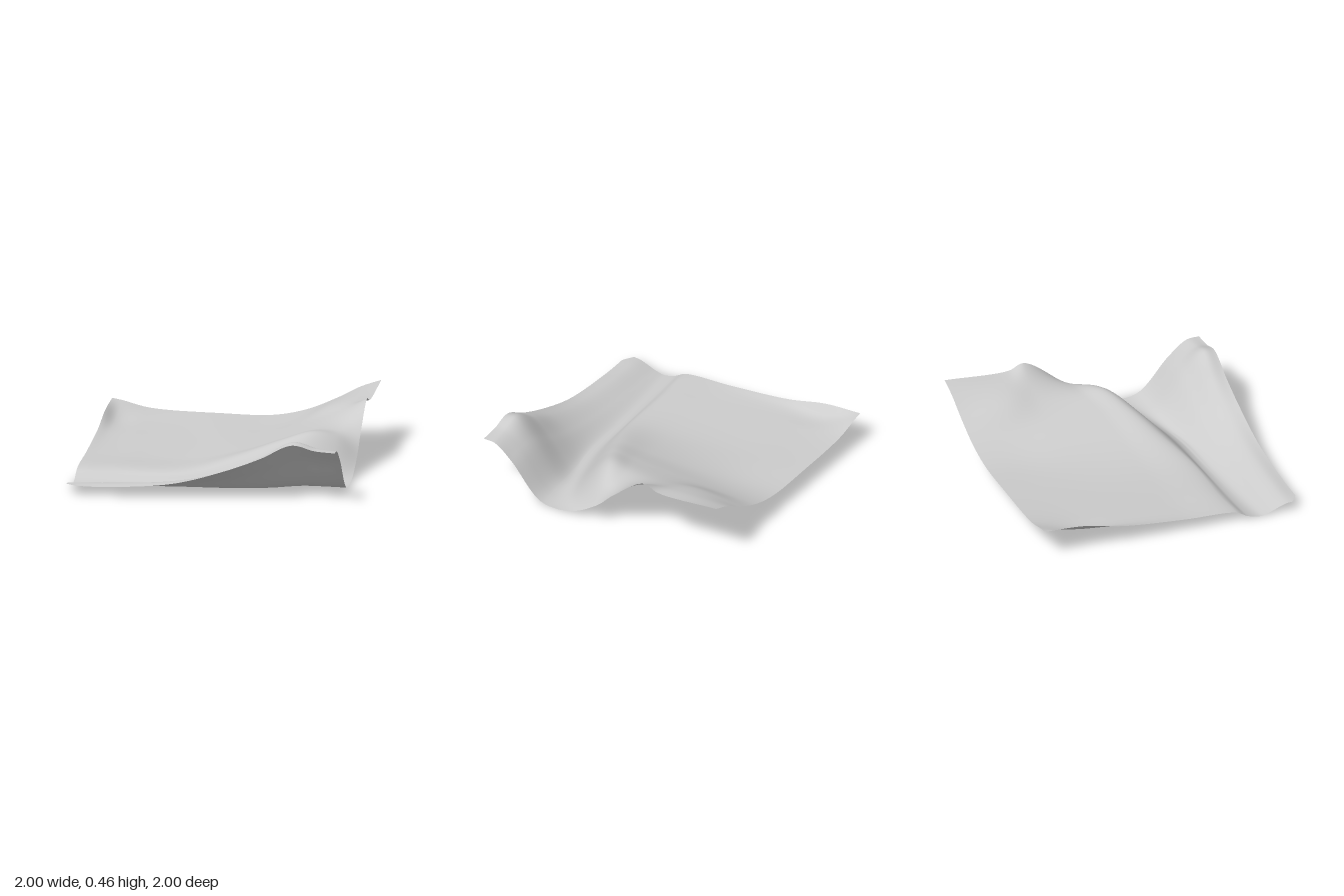
import * as THREE from 'three';

// Columns of the control net, from right (-x) to left (+x)
const XS = [-1, -0.92, -0.72, -0.2, 0.2, 0.45, 0.68, 0.85, 1];

// Feature lines from back to front: z (one value or one per column) and heights
const LINES = [
  { z: -1, h: [0.22, 0.205, 0.158, 0.14, 0.145, 0.2, 0.3, 0.39, 0.445] },
  // dented plateau, with a raised lip on the right edge and a peak on the left edge
  { z: [-0.7, -0.7, -0.7, -0.7, -0.7, -0.68, -0.62, -0.56, -0.5],
    h: [0.205, 0.14, 0.124, 0.122, 0.14, 0.21, 0.335, 0.39, 0.42] },
  { z: -0.38, h: [0.14, 0.115, 0.106, 0.105, 0.15, 0.225, 0.31, 0.375, 0.46] },
  { z: [0.1, 0.1, 0.1, 0.1, 0.06, 0.03, -0.05, -0.08, -0.11],
    h: [0.095, 0.088, 0.082, 0.088, 0.165, 0.245, 0.302, 0.295, 0.27] },
  // crest above the gully
  { z: [0.5, 0.5, 0.48, 0.47, 0.33, 0.23, 0.13, 0.07, 0.03],
    h: [0.07, 0.07, 0.07, 0.075, 0.175, 0.255, 0.31, 0.26, 0.14] },
  // foot of the bank and gully floor
  { z: [0.6, 0.59, 0.58, 0.55, 0.53, 0.48, 0.42, 0.36, 0.27],
    h: [0.02, 0.02, 0.015, 0.015, 0.015, 0.02, 0.025, 0.02, 0.015] },
  { z: [0.69, 0.68, 0.66, 0.62, 0.6, 0.56, 0.53, 0.52, 0.51],
    h: [0, 0, 0, 0, 0, 0.005, 0.025, 0.025, 0.02] },
  // front bank up to its rim
  { z: 0.76, h: [0.015, 0.018, 0.027, 0.06, 0.12, 0.2, 0.3, 0.3, 0.28] },
  { z: [0.9, 0.9, 0.9, 0.9, 0.9, 0.9, 0.91, 0.91, 0.9],
    h: [0.066, 0.07, 0.076, 0.115, 0.21, 0.325, 0.45, 0.41, 0.39] },
  { z: 1, h: [0.07, 0.07, 0.07, 0.118, 0.235, 0.335, 0.445, 0.41, 0.4] },
];

const NX = 80, NZ = 90;

// Smooth sheet through the feature lines
function landGeometry() {
  const rows = LINES.map(({ z, h }) => new THREE.CatmullRomCurve3(
    XS.map((x, i) => new THREE.Vector3(x, h[i], Array.isArray(z) ? z[i] : z))));
  const pos = new Float32Array((NX + 1) * (NZ + 1) * 3);
  const index = [];
  for (let j = 0; j <= NX; j++) {
    const section = new THREE.CatmullRomCurve3(rows.map((r) => r.getPoint(j / NX)));
    for (let i = 0; i <= NZ; i++) {
      const p = section.getPoint(i / NZ);
      // clipped front corner
      const zMax = Math.min(1, 0.95 + (p.x + 1) * 0.625);
      pos.set([
        THREE.MathUtils.clamp(p.x, -1, 1),
        Math.max(0, p.y),
        THREE.MathUtils.clamp(p.z, -1, zMax),
      ], (j * (NZ + 1) + i) * 3);
      if (j < NX && i < NZ) {
        const a = j * (NZ + 1) + i, b = a + NZ + 1;
        index.push(a, a + 1, b, b, a + 1, b + 1);
      }
    }
  }
  const g = new THREE.BufferGeometry();
  g.setAttribute('position', new THREE.BufferAttribute(pos, 3));
  g.setIndex(index);
  g.computeVertexNormals();
  return g;
}

export function createModel() {
  const group = new THREE.Group();
  group.name = 'terrain';
  const grey = new THREE.MeshStandardMaterial({ color: 0xcccccc, side: THREE.DoubleSide });
  grey.name = 'light grey';
  const land = new THREE.Mesh(landGeometry(), grey);
  land.name = 'landSurface';
  group.add(land);
  return group;
}
